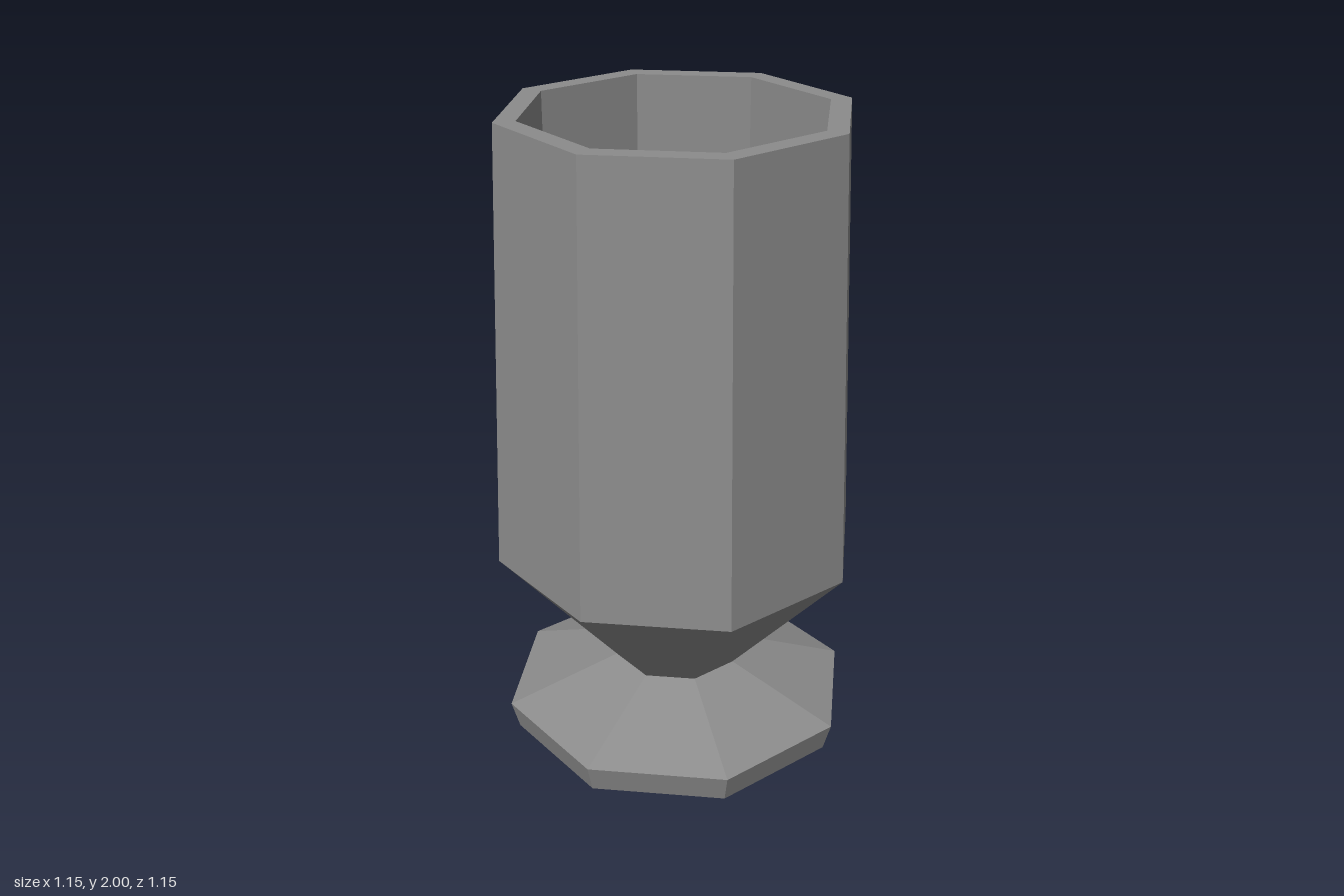
import * as THREE from 'three';

const SIDES = 8;

// Faceted ring part: profile of [radius, height] pairs, turned round the y axis
function turned(name, profile, material) {
  const points = profile.map(([r, y]) => new THREE.Vector2(r, y));
  const geometry = new THREE.LatheGeometry(points, SIDES).toNonIndexed();
  geometry.computeVertexNormals(); // one normal per facet
  const mesh = new THREE.Mesh(geometry, material);
  mesh.name = name;
  return mesh;
}

export function createModel() {
  const grey = new THREE.MeshStandardMaterial({ color: 0x8c8c8c, flatShading: true });
  grey.name = 'grey';

  const goblet = new THREE.Group();
  goblet.name = 'goblet';

  // Foot: hollow underside, bevelled edge, slope up to the neck
  goblet.add(turned('foot', [[0, 0.195], [0.535, 0], [0.56, 0.09], [0.205, 0.22]], grey));

  // Bowl: flared base and tapering outer wall
  goblet.add(turned('bowl', [[0.205, 0.22], [0.573, 0.63], [0.523, 2]], grey));

  // Flat rim
  goblet.add(turned('rim', [[0.523, 2], [0.458, 2]], grey));

  // Straight inner wall and floor
  goblet.add(turned('bowlInside', [[0.458, 2], [0.458, 0.63], [0, 0.63]], grey));

  return goblet;
}
